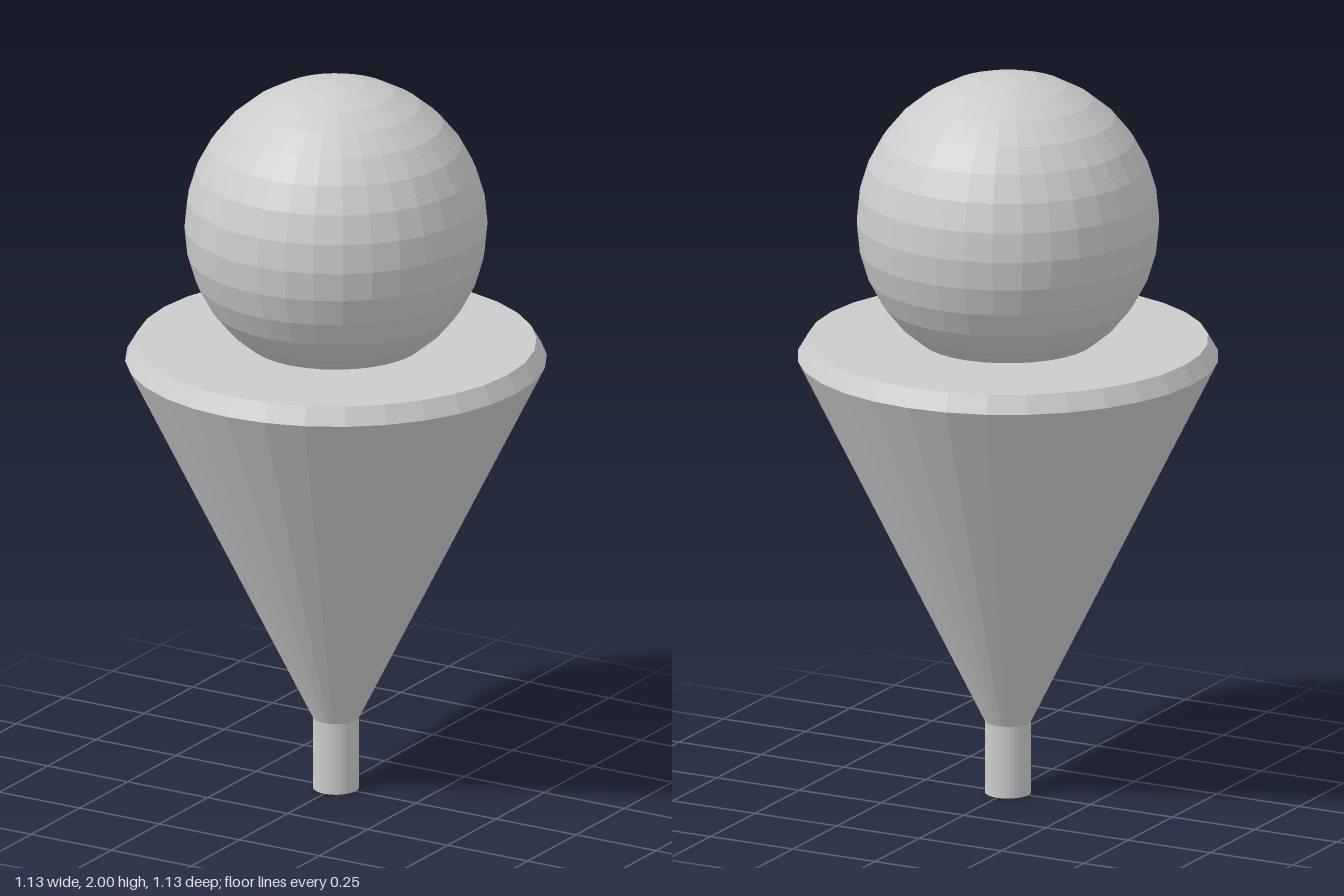
import * as THREE from 'three';

const SIDES = 32;

export function createModel() {
  const model = new THREE.Group();
  const material = new THREE.MeshStandardMaterial({ color: 0xcccccc, flatShading: true });

  const add = (name, geometry, y) => {
    const mesh = new THREE.Mesh(geometry, material);
    mesh.name = name;
    mesh.position.y = y;
    model.add(mesh);
  };

  // Short round stem the model stands on
  add('stem', new THREE.CylinderGeometry(0.062, 0.062, 0.2, SIDES), 0.1);

  // Inverted cone with a bevelled rim and a flat top
  const profile = [[0, 0.2], [0.062, 0.2], [0.565, 1.217], [0.537, 1.265], [0, 1.265]]
    .map(([r, y]) => new THREE.Vector2(r, y));
  add('cone', new THREE.LatheGeometry(profile, SIDES), 0);

  // Faceted ball sunk slightly into the top
  add('ball', new THREE.SphereGeometry(0.406, SIDES, 16), 1.594);

  return model;
}
